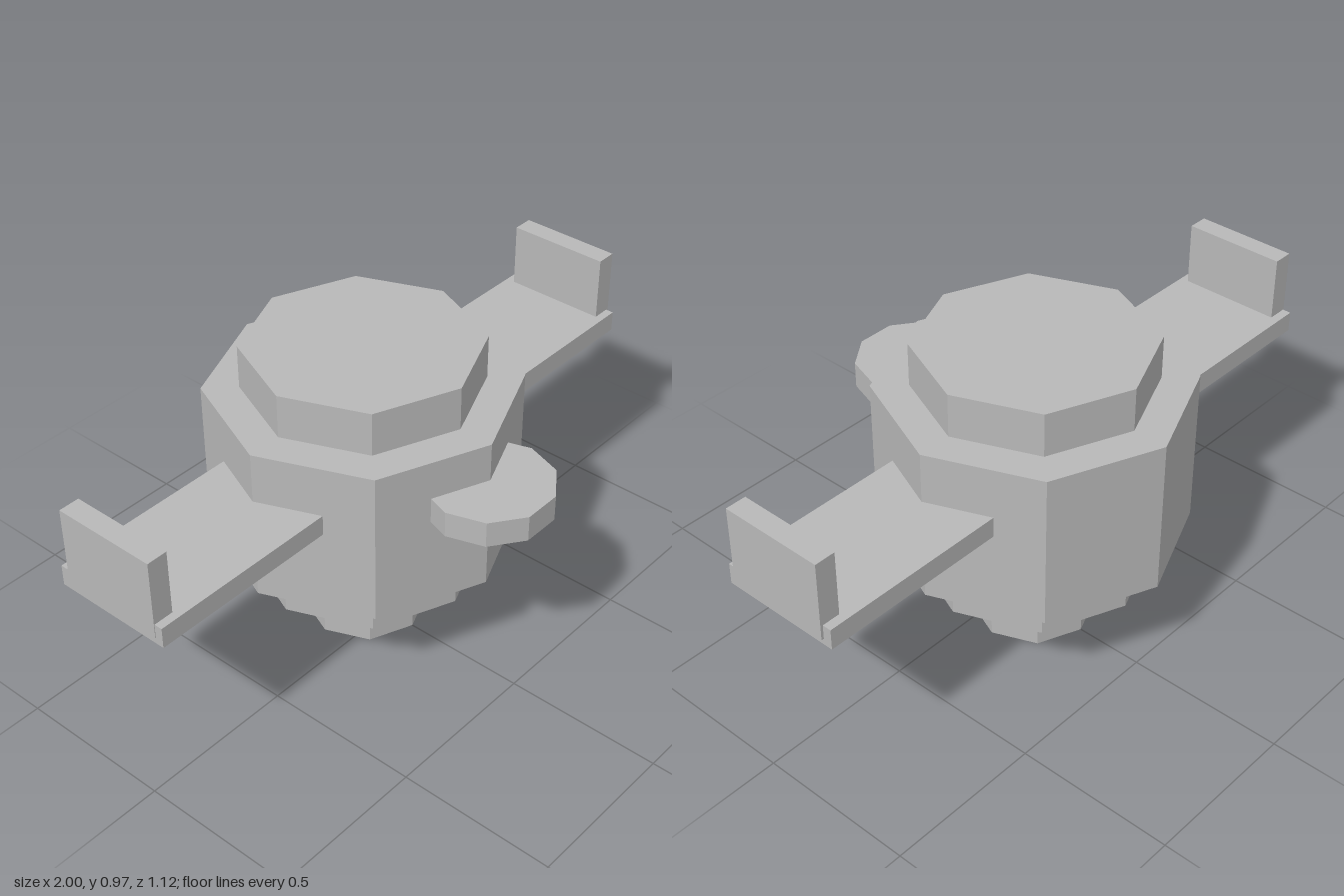
import * as THREE from 'three';

export function createModel() {
  const model = new THREE.Group();
  const grey = new THREE.MeshStandardMaterial({ color: 0xb8b8b8, flatShading: true });
  grey.name = 'grey';
  const axisZ = -0.09;

  const add = (name, geometry, x, y, z) => {
    const mesh = new THREE.Mesh(geometry, grey);
    mesh.name = name;
    mesh.position.set(x, y, z);
    model.add(mesh);
    return mesh;
  };
  // upright prism between two heights
  const prism = (name, radius, y0, y1, z, sides = 8) =>
    add(name, new THREE.CylinderGeometry(radius, radius, y1 - y0, sides), 0, (y0 + y1) / 2, z);
  // box between two corners
  const block = (name, x0, x1, y0, y1, z0, z1) =>
    add(name, new THREE.BoxGeometry(x1 - x0, y1 - y0, z1 - z0),
      (x0 + x1) / 2, (y0 + y1) / 2, (z0 + z1) / 2);

  // stacked octagonal body
  prism('foot', 0.192, 0, 0.25, axisZ);
  prism('lowerCollar', 0.358, 0.195, 0.4, axisZ);
  prism('body', 0.469, 0.333, 0.83, axisZ);
  prism('topCap', 0.358, 0.75, 0.968, axisZ);

  // ten-sided nose disc, flat side forward
  prism('nose', 0.195, 0.625, 0.707, 0.376, 10).rotation.y = Math.PI / 10;

  // one bar through the body forms both arms
  block('arms', -0.998, 0.992, 0.605, 0.67, -0.283, 0.101);

  // upright hand plates at the arm tips
  block('leftHand', 0.935, 1, 0.625, 0.873, -0.255, 0.075);
  block('rightHand', -1, -0.935, 0.625, 0.873, -0.255, 0.075);

  return model;
}
